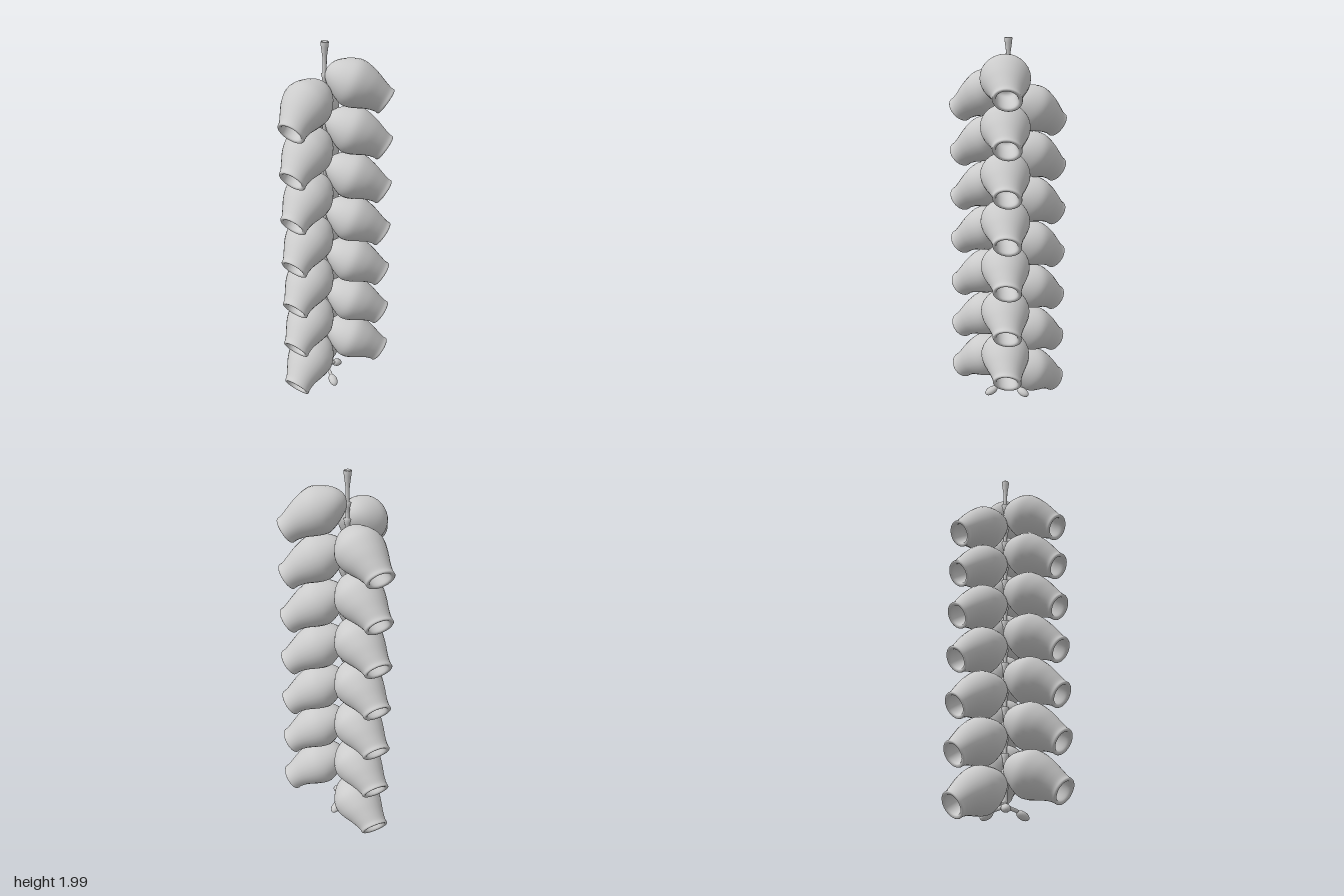
import * as THREE from 'three';

const mat = new THREE.MeshStandardMaterial({ color: 0xcccccc, side: THREE.DoubleSide });
const STEM_X = -0.06, STEM_Z = -0.003;

// Pod cross-sections, relative to the stem: x, y, sideways bend, radius, downward tilt (degrees)
const SECTIONS = [
  [0.0, 0.015, 0, 0.006, 0],
  [0.015, 0.013, 0, 0.045, 0],
  [0.05, 0.005, 0, 0.085, 5],
  [0.1, -0.01, 0, 0.114, 12],
  [0.15, -0.022, 0, 0.122, 20],
  [0.2, -0.05, -0.005, 0.108, 30],
  [0.25, -0.08, -0.015, 0.085, 35],
  [0.285, -0.104, -0.024, 0.072, 35],
  [0.303, -0.117, -0.028, 0.071, 35],
  // rim, then the hollow inside
  [0.306, -0.119, -0.028, 0.062, 35],
  [0.298, -0.113, -0.026, 0.052, 35],
  [0.26, -0.086, -0.018, 0.05, 35],
  [0.22, -0.06, -0.01, 0.045, 32],
  [0.21, -0.055, -0.008, 0.002, 32],
];

// Sweep the smoothed cross-sections into one closed pod skin
function podGeometry(rings = 65, sides = 28) {
  const axis = new THREE.CatmullRomCurve3(SECTIONS.map(s => new THREE.Vector3(s[0], s[1], s[2])), false, 'catmullrom', 0.5);
  const shape = new THREE.CatmullRomCurve3(SECTIONS.map(s => new THREE.Vector3(s[3], s[4], 0)), false, 'catmullrom', 0.5);
  const pos = [], idx = [];
  for (let i = 0; i <= rings; i++) {
    const c = axis.getPoint(i / rings), s = shape.getPoint(i / rings);
    const r = Math.max(s.x, 0.001), tilt = THREE.MathUtils.degToRad(s.y);
    for (let j = 0; j < sides; j++) {
      const a = (j / sides) * Math.PI * 2, up = r * Math.cos(a);
      pos.push(c.x + up * Math.sin(tilt), c.y + up * Math.cos(tilt), c.z + r * 1.06 * Math.sin(a));
      if (i < rings) {
        const k = (j + 1) % sides, p = i * sides, q = p + sides;
        idx.push(p + j, p + k, q + j, p + k, q + k, q + j);
      }
    }
  }
  const g = new THREE.BufferGeometry();
  g.setAttribute('position', new THREE.Float32BufferAttribute(pos, 3));
  g.setIndex(idx);
  g.computeVertexNormals();
  return g;
}

function lathe(points, sides) {
  return new THREE.LatheGeometry(points.map(p => new THREE.Vector2(p[0], p[1])), sides);
}

function add(parent, geometry, name) {
  const m = new THREE.Mesh(geometry, mat);
  m.name = name;
  parent.add(m);
  return m;
}

export function createModel() {
  const group = new THREE.Group();
  group.name = 'hangingPods';
  const plant = new THREE.Group();
  plant.name = 'plant';
  plant.position.set(STEM_X, 0, STEM_Z);
  group.add(plant);

  // Thin stem with a flared, hollow top
  add(plant, lathe([[0.001, 0.09], [0.018, 0.1], [0.013, 0.14], [0.01, 0.2], [0.01, 1.88], [0.011, 1.92],
    [0.018, 1.97], [0.021, 1.995], [0.018, 2], [0.012, 1.985], [0.001, 1.97]], 14), 'stem');

  // Three columns of pods climbing the stem in a spiral, with a small collar at each
  const pod = podGeometry();
  const collar = lathe([[0.01, -0.03], [0.014, 0], [0.02, 0.022], [0.01, 0.025]], 12);
  for (let column = 0; column < 3; column++) {
    for (let row = 0; row < 7; row++) {
      const y = 1.817 - row * 0.245 - column * 0.0815;
      const p = add(plant, pod, 'pod');
      p.position.y = y;
      p.rotation.y = -column * Math.PI * 2 / 3;
      add(plant, collar, 'collar').position.y = y;
    }
  }

  // Three drooping stalks with rounded lobes at the foot, in the gaps between the columns
  const stalk = new THREE.TubeGeometry(new THREE.CatmullRomCurve3([
    new THREE.Vector3(0, 0.125, 0), new THREE.Vector3(0.025, 0.103, 0),
    new THREE.Vector3(0.06, 0.095, 0), new THREE.Vector3(0.1, 0.078, 0)]), 12, 0.01, 8);
  const bud = new THREE.SphereGeometry(1, 16, 12);
  for (let i = 0; i < 3; i++) {
    const lobe = new THREE.Group();
    lobe.name = 'footLobe';
    lobe.rotation.y = Math.PI / 3 + i * Math.PI * 2 / 3;
    plant.add(lobe);
    add(lobe, stalk, 'stalk');
    const b = add(lobe, bud, 'bud');
    b.scale.set(0.038, 0.021, 0.024);
    b.position.set(0.102, 0.074, 0);
    b.rotation.z = -0.4;
  }
  return group;
}
